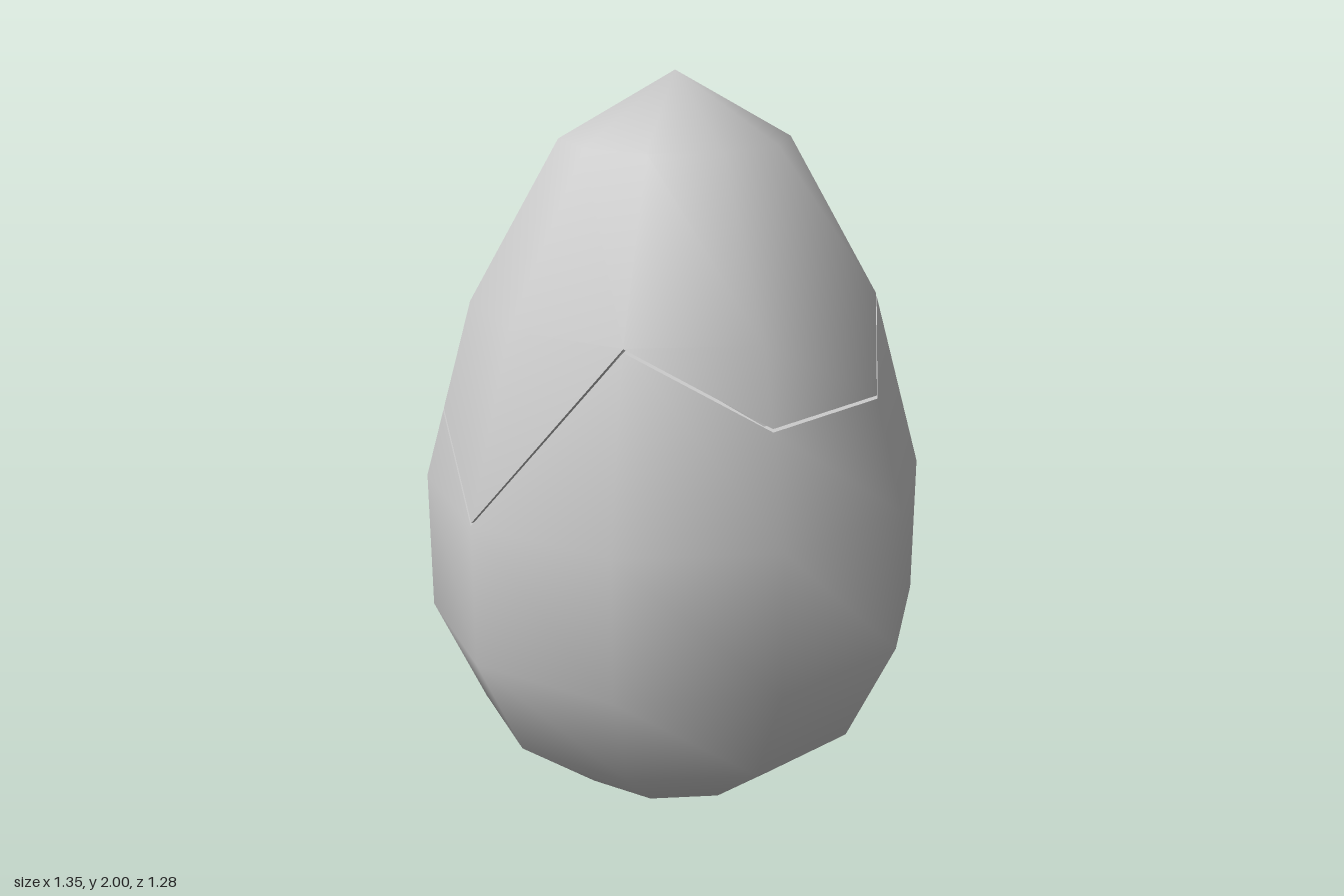
import * as THREE from 'three';

const SIDES = 10;
// egg profile: [radius, height]
const PROFILE = [[0, 0], [0.3, 0.07], [0.54, 0.26], [0.674, 0.55], [0.674, 0.93], [0.54, 1.41], [0.3, 1.83], [0, 2]];
// crack height at each corner, from +x round by the front (+z)
const CRACK = [1.225, 1.215, 1.405, 0.935, 1.115, 1.3, 1.17, 1.25, 1.185, 1.405];
const GAP = 0.004;

// smooth profile normal [radial, up] at ring i
function ringNormal(i) {
  if (i === 0) return [0, -1];
  if (i === PROFILE.length - 1) return [0, 1];
  const sum = new THREE.Vector2();
  for (const k of [i - 1, i]) {
    const [r0, y0] = PROFILE[k], [r1, y1] = PROFILE[k + 1];
    sum.add(new THREE.Vector2(y1 - y0, r0 - r1).normalize());
  }
  return sum.normalize().toArray();
}

// radius, height and normal on the side band that the crack runs through
function crackPoint(column, offset) {
  const [r0, y0] = PROFILE[4], [r1, y1] = PROFILE[5];
  const y = THREE.MathUtils.clamp(CRACK[column] + offset, y0, y1);
  const t = (y - y0) / (y1 - y0);
  const a = ringNormal(4), b = ringNormal(5);
  return [THREE.MathUtils.lerp(r0, r1, t), y, THREE.MathUtils.lerp(a[0], b[0], t), THREE.MathUtils.lerp(a[1], b[1], t)];
}

const ring = (i) => () => [...PROFILE[i], ...ringNormal(i)];

// closed loops joined from the bottom up; each row gives [r, y, nr, ny] for a column
function loft(rows) {
  const pos = [], nor = [], index = [];
  rows.forEach((row, j) => {
    for (let i = 0; i < SIDES; i++) {
      const a = (i / SIDES) * Math.PI * 2, c = Math.cos(a), s = Math.sin(a);
      const [r, y, nr, ny] = row(i);
      const n = new THREE.Vector3(c * nr, ny, s * nr).normalize();
      pos.push(c * r, y, s * r);
      nor.push(n.x, n.y, n.z);
      if (j === rows.length - 1) continue;
      const p = j * SIDES + i, q = j * SIDES + ((i + 1) % SIDES);
      index.push(p, p + SIDES, q + SIDES, p, q + SIDES, q);
    }
  });
  const g = new THREE.BufferGeometry();
  g.setAttribute('position', new THREE.Float32BufferAttribute(pos, 3));
  g.setAttribute('normal', new THREE.Float32BufferAttribute(nor, 3));
  g.setIndex(index);
  return g;
}

export function createModel() {
  const egg = new THREE.Group();
  egg.name = 'crackedEgg';
  const material = new THREE.MeshStandardMaterial({ color: 0xcccccc, side: THREE.DoubleSide });

  const add = (name, geometry) => {
    const mesh = new THREE.Mesh(geometry, material);
    mesh.name = name;
    egg.add(mesh);
  };

  // two shell halves that meet along the zigzag crack
  add('lowerShell', loft([0, 1, 2, 3, 4].map(ring).concat((i) => crackPoint(i, -GAP))));
  add('upperShell', loft([(i) => crackPoint(i, GAP), ...[5, 6, 7].map(ring)]));

  // broken edges, running inward from the crack
  for (const [name, side] of [['lowerRim', -1], ['upperRim', 1]]) {
    const edge = (depth) => (i) => {
      const [r, y] = crackPoint(i, side * GAP);
      return [r - depth, y, 0, -side];
    };
    add(name, loft(side < 0 ? [edge(0), edge(0.05)] : [edge(0.05), edge(0)]));
  }
  return egg;
}
